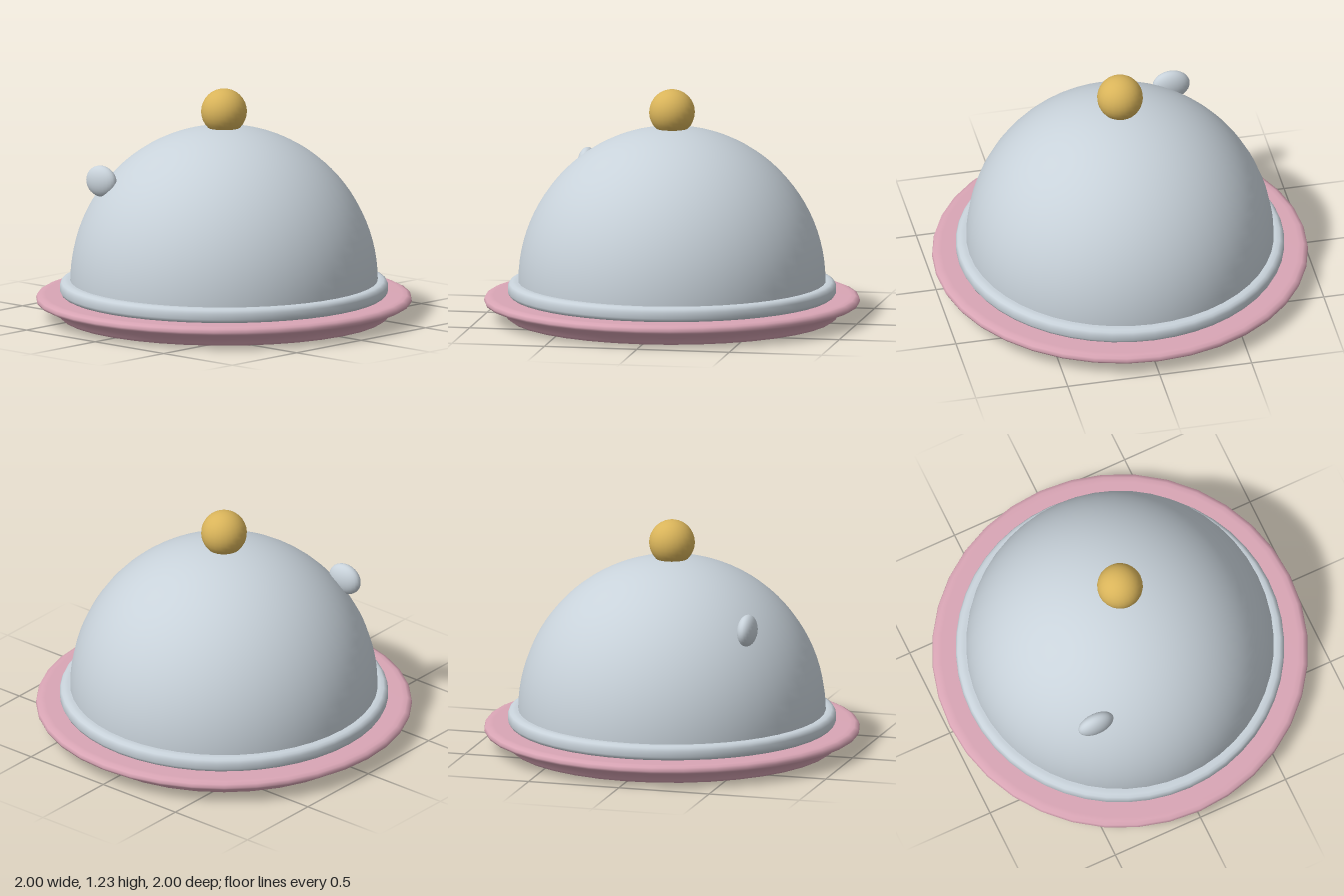
import * as THREE from 'three';

const material = (name, color) => {
  const m = new THREE.MeshStandardMaterial({ color });
  m.name = name;
  return m;
};

export function createModel() {
  const silver = material('silver', 0xc8d2da);
  const pink = material('pink', 0xd9a5b5);
  const gold = material('gold', 0xd9b45a);

  const group = new THREE.Group();
  group.name = 'coveredDish';

  const add = (name, geometry, mat, x = 0, y = 0, z = 0) => {
    const mesh = new THREE.Mesh(geometry, mat);
    mesh.name = name;
    mesh.position.set(x, y, z);
    group.add(mesh);
    return mesh;
  };
  const lathe = (points, segments) =>
    new THREE.LatheGeometry(points.map(([r, y]) => new THREE.Vector2(r, y)), segments);

  // Plate with a raised foot and flared rim
  add('plate', lathe([
    [0, 0], [0.84, 0], [0.865, 0.004], [0.885, 0.02], [0.895, 0.045],
    [0.975, 0.075], [0.995, 0.085], [1, 0.097], [0.995, 0.115],
    [0.975, 0.124], [0.95, 0.125], [0, 0.125],
  ], 36), pink);

  // Rounded band around the foot of the cover
  add('coverRim', lathe([
    [0.78, 0.12], [0.85, 0.12], [0.865, 0.13], [0.873, 0.145],
    [0.873, 0.175], [0.865, 0.192], [0.85, 0.2], [0.83, 0.202], [0.78, 0.2],
  ], 48), silver);

  // Domed cover
  const dome = add('domeCover',
    new THREE.SphereGeometry(0.818, 48, 24, 0, Math.PI * 2, 0, Math.PI / 2), silver, 0, 0.195, 0);
  dome.scale.y = 1.02;

  // Oval boss on the front of the cover
  add('ovalBoss', new THREE.SphereGeometry(1, 24, 16), silver, -0.393, 0.755, 0.533)
    .scale.set(0.101, 0.084, 0.05);

  // Ball handle
  add('knob', new THREE.SphereGeometry(0.122, 24, 16), gold, 0, 1.111, 0);

  return group;
}
